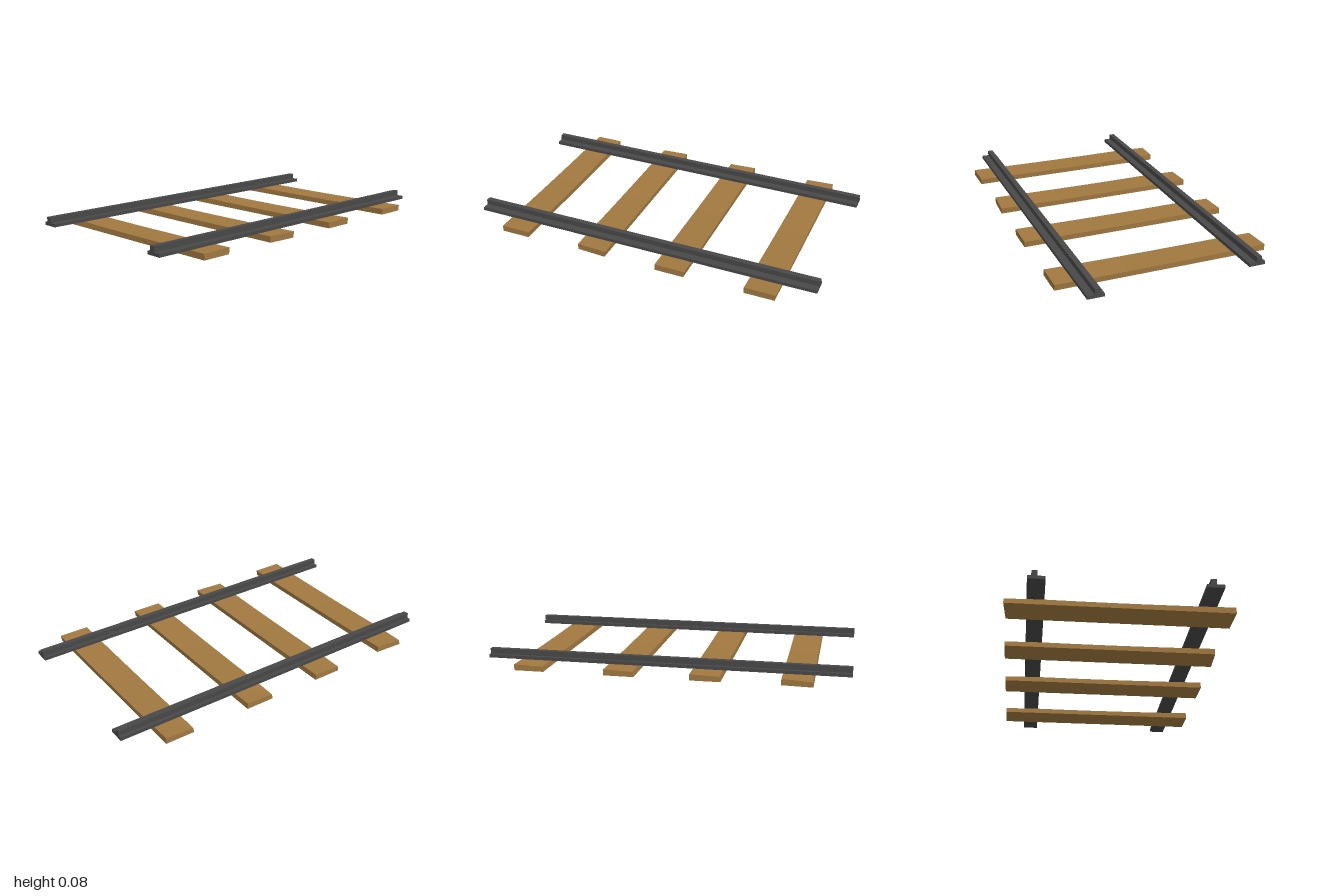
import * as THREE from 'three';

const wood = new THREE.MeshStandardMaterial({ color: 0xa17840, flatShading: true });
const steel = new THREE.MeshStandardMaterial({ color: 0x484848, flatShading: true });

// Stepped rail section: wide foot with a narrow head, swept along z
function makeRail(name, x) {
  const profile = new THREE.Shape([
    [-0.045, 0.032], [0.045, 0.032], [0.045, 0.05], [0.005, 0.05],
    [0.005, 0.08], [-0.025, 0.08], [-0.025, 0.05], [-0.045, 0.05],
  ].map(([px, py]) => new THREE.Vector2(px, py)));
  const geometry = new THREE.ExtrudeGeometry(profile, { depth: 2, bevelEnabled: false });
  const rail = new THREE.Mesh(geometry, steel);
  rail.name = name;
  rail.position.set(x, 0, -1);
  return rail;
}

// Rough plank: top sags in the middle, one end may be cut at a slant
function makeSleeper(name, { z, leftCut = 0, rightCut = 0 }) {
  const length = 1.185, height = 0.034, width = 0.166;
  const geometry = new THREE.BoxGeometry(length, height, width, 6, 1, 1);
  geometry.translate(0, height / 2, 0);
  const p = geometry.attributes.position;
  for (let i = 0; i < p.count; i++) {
    const x = p.getX(i), y = p.getY(i), side = p.getZ(i);
    const t = x / (length / 2);
    if (y > 0.01) {
      p.setY(i, y - 0.005 * (1 - t * t) - (t < -0.99 && side > 0 ? 0.006 : 0));
      p.setZ(i, side + 0.003 * t * Math.sign(side) - 0.002);
    }
    if (t > 0.99 && side > 0) p.setX(i, x - leftCut);
    if (t < -0.99 && side < 0) p.setX(i, x + rightCut);
  }
  geometry.computeVertexNormals();
  const sleeper = new THREE.Mesh(geometry, wood);
  sleeper.name = name;
  sleeper.position.set(-0.002, 0, z);
  return sleeper;
}

export function createModel() {
  const track = new THREE.Group();
  track.name = 'railwayTrack';
  track.add(makeRail('rightRail', -0.435), makeRail('leftRail', 0.445));

  // Sleepers from back to front, slightly uneven in spacing
  const sleepers = [
    { z: -0.725 },
    { z: -0.222 },
    { z: 0.244, leftCut: 0.01 },
    { z: 0.723, rightCut: 0.01 },
  ];
  sleepers.forEach((s, i) => track.add(makeSleeper(`sleeper${i + 1}`, s)));
  return track;
}
